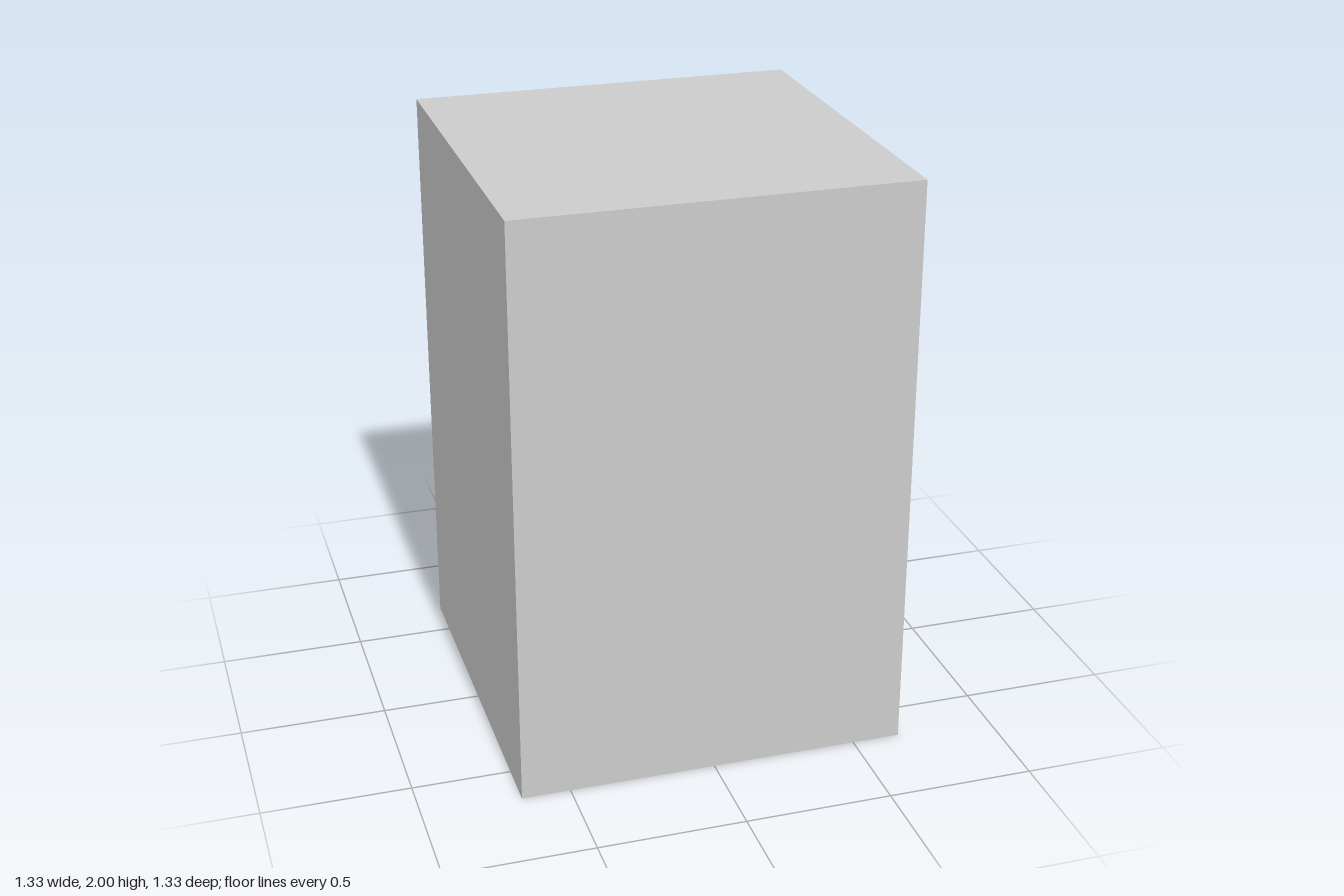
import * as THREE from 'three';

const H = 2, HALF = 0.665;        // block height and half width
const FLOOR = 0.015, SPRING = 1.18; // niche floor and start of the dome
const CENTRE_Z = 0.02, RADIUS = 0.58;

export function createModel() {
  const group = new THREE.Group();
  const material = new THREE.MeshStandardMaterial({ color: 0xcccccc, flatShading: true });
  const add = (name, geometry) => {
    const mesh = new THREE.Mesh(geometry, material);
    mesh.name = name;
    group.add(mesh);
    return mesh;
  };

  // Niche profile from the pointed crown down to the floor (radius, height)
  const profile = [
    [0, 1.78], [0.02, 1.773], [0.06, 1.74], [0.11, 1.695], [0.215, 1.637], [0.32, 1.58],
    [0.41, 1.51], [0.487, 1.42], [0.54, 1.32], [0.572, 1.2], [0.574, SPRING],
    [RADIUS, SPRING], [RADIUS, FLOOR],
  ].map(([r, y]) => new THREE.Vector2(r, y));

  // Solid block without its niche side (+x is the first face of a box)
  const block = new THREE.BoxGeometry(2 * HALF, H, 2 * HALF).translate(0, H / 2, 0);
  block.setIndex(Array.from(block.index.array).slice(6));
  add('block', block);

  // Side panel with the arched opening
  const panel = new THREE.Shape();
  panel.moveTo(-HALF, 0).lineTo(HALF, 0).lineTo(HALF, H).lineTo(-HALF, H).closePath();
  const arch = profile.map((p) => new THREE.Vector2(p.x - CENTRE_Z, p.y));
  const mirrored = profile.slice(1).reverse().map((p) => new THREE.Vector2(-p.x - CENTRE_Z, p.y));
  panel.holes.push(new THREE.Path([...arch, ...mirrored]));
  add('archedPanel', new THREE.ShapeGeometry(panel).rotateY(Math.PI / 2).translate(HALF, 0, 0));

  // Half-round niche: the profile runs downwards so its faces point inwards
  const niche = new THREE.LatheGeometry(
    [...profile, new THREE.Vector2(0, FLOOR)], 16, Math.PI, Math.PI);
  add('niche', niche).position.set(HALF, 0, CENTRE_Z);

  return group;
}
